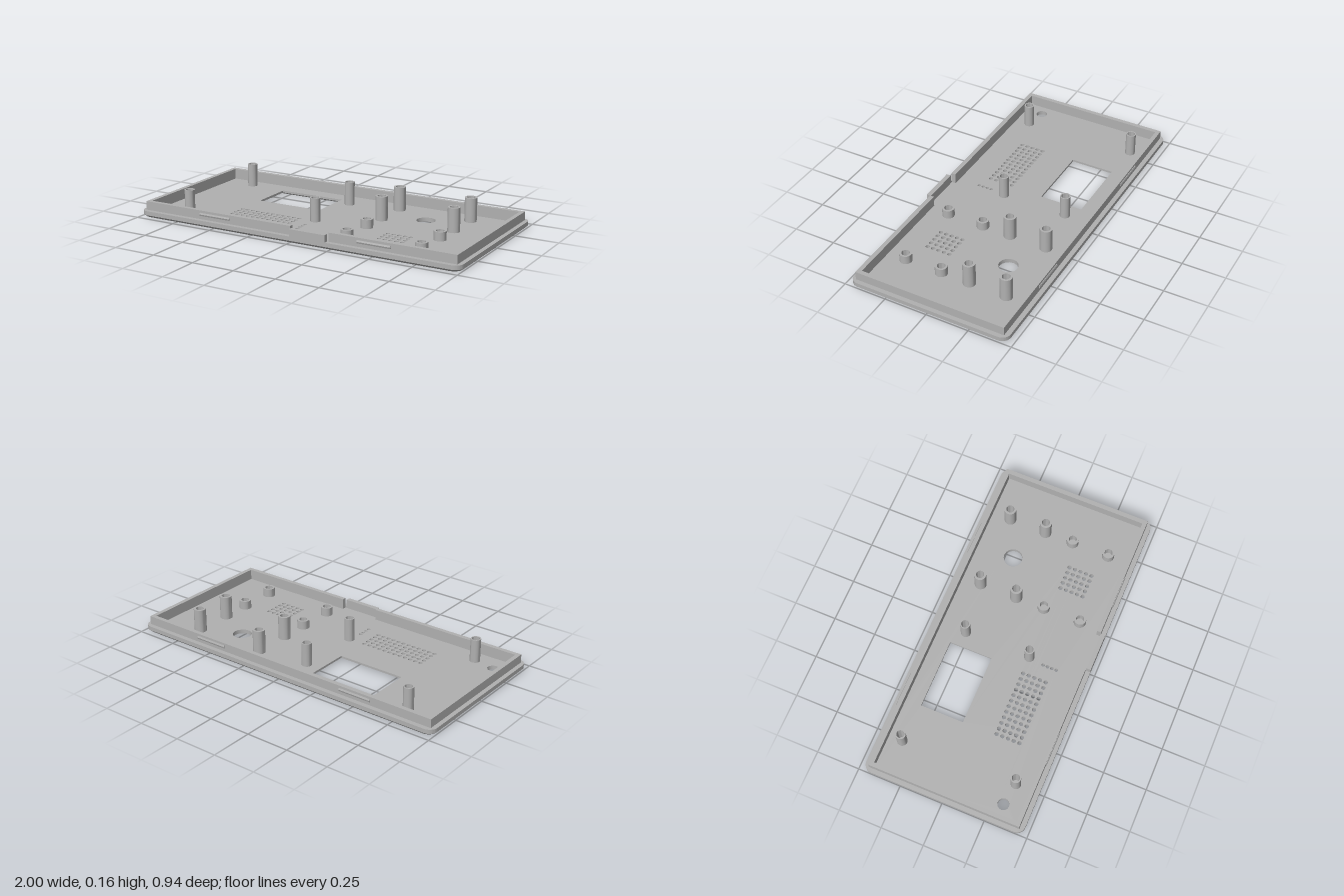
import * as THREE from 'three';
import { toCreasedNormals } from 'three/addons/utils/BufferGeometryUtils.js';

const W = 1, D = 0.472;               // half width and depth of the panel
const FLOOR = 0.024, RIM = 0.036, LIP = 0.086;
const CHAMFER = 0.012;
const WINDOW = { x: -0.337, z: -0.201, w: 0.203, d: 0.127 }; // centre and half sizes

// Shapes are drawn in plan: shape x = model x, shape y = model z
const polygon = (pts, Type = THREE.Shape) => new Type(pts.map(([x, z]) => new THREE.Vector2(x, z)));
const rect = (x, z, w, d) => [[x - w, z - d], [x + w, z - d], [x + w, z + d], [x - w, z + d]];

function outline(r = 0.05) {
  const s = new THREE.Shape();
  s.absarc(W - r, D - r, r, 0, Math.PI / 2);
  s.absarc(-W + r, D - r, r, Math.PI / 2, Math.PI);
  s.absarc(-W + r, -D + r, r, Math.PI, Math.PI * 1.5);
  s.absarc(W - r, -D + r, r, Math.PI * 1.5, Math.PI * 2);
  s.closePath();
  return s;
}

function slab(shape, y0, y1, steps = 1) {
  const g = new THREE.ExtrudeGeometry(shape, { depth: y1 - y0, steps, bevelEnabled: false, curveSegments: 8 });
  return g.rotateX(Math.PI / 2).translate(0, y1, 0);
}

function floorGeometry() {
  const shape = outline();
  const hole = (x, z, r) => shape.holes.push(new THREE.Path().absarc(x, z, r, 0, Math.PI * 2));
  shape.holes.push(polygon(rect(WINDOW.x, WINDOW.z, WINDOW.w, WINDOW.d), THREE.Path));
  hole(0.484, -0.2, 0.055);
  hole(-0.88, 0.313, 0.033);
  // Vent grids
  for (let row = 0; row < 5; row++) {
    const z = 0.125 + row * 0.0343;
    for (let i = 0; i < 12; i++) hole(-0.53 + i * 0.0348, z, 0.012);
    for (let i = 0; i < 5; i++) hole(0.415 + i * 0.0348, z, 0.012);
  }
  // Indicator holes
  for (let i = 0; i < 4; i++) hole(-0.058, 0.21 + i * 0.0265, 0.01);

  // Chamfer the underside: outer edge pulled in, window edge pushed out
  const g = slab(shape, 0, FLOOR, 2);
  const p = g.attributes.position;
  for (let i = 0; i < p.count; i++) {
    if (p.getY(i) > 0.001) continue;
    const x = p.getX(i), z = p.getZ(i);
    const dx = x - WINDOW.x, dz = z - WINDOW.z;
    if (Math.abs(x) > 0.94 || Math.abs(z) > 0.41) {
      p.setX(i, x * (1 - CHAMFER / W));
      p.setZ(i, z * (1 - CHAMFER / D));
    } else if (Math.abs(dx) < WINDOW.w + 0.001 && Math.abs(dz) < WINDOW.d + 0.001) {
      p.setX(i, x + Math.sign(dx) * 0.022);
      p.setZ(i, z + Math.sign(dz) * 0.022);
    }
  }
  return toCreasedNormals(g, 0.6);
}

// Hollow post standing on the floor
function postGeometry(top, outer, inner) {
  const pts = [[outer, FLOOR], [outer, top], [inner, top], [inner, FLOOR]];
  const g = new THREE.LatheGeometry(pts.map(([r, y]) => new THREE.Vector2(r, y)), 24);
  return toCreasedNormals(g, 0.6);
}

export function createModel() {
  const model = new THREE.Group();
  const grey = new THREE.MeshStandardMaterial({ color: 0xb0b0b0 });
  grey.name = 'grey plastic';
  const add = (name, geometry, x = 0, y = 0, z = 0) => {
    const m = new THREE.Mesh(geometry, grey);
    m.name = name;
    m.position.set(x, y, z);
    model.add(m);
    return m;
  };

  add('floorPanel', floorGeometry());

  // Outer rim, cut back at the front notch
  const ox = 0.975, oz = 0.445, ix = 0.95, iz = 0.42, n0 = -0.01, n1 = 0.228;
  const rim = outline();
  rim.holes.push(polygon([[-ix, -iz], [ix, -iz], [ix, iz], [n1, iz], [n1, oz], [n0, oz], [n0, iz], [-ix, iz]], THREE.Path));
  add('outerRim', toCreasedNormals(slab(rim, FLOOR, RIM), 0.6));

  // Raised lip wall with a gap at the front
  add('lipWall', slab(polygon([
    [n1, oz], [ox, oz], [ox, -oz], [-ox, -oz], [-ox, oz], [n0, oz],
    [n0, iz], [-ix, iz], [-ix, -iz], [ix, -iz], [ix, iz], [n1, iz],
  ]), RIM, LIP));

  // Tab filling the notch, flush with the outer edge
  add('frontTab', new THREE.BoxGeometry(0.22, 0.041, D - oz), 0.11, RIM + 0.0205, (D + oz) / 2);

  // Snap ridges on the long sides
  const ridge = new THREE.CylinderGeometry(0.01, 0.01, 0.2, 6).toNonIndexed();
  ridge.rotateZ(Math.PI / 2).scale(1, 1, 0.6).computeVertexNormals();
  for (const x of [-0.5, 0.5]) for (const z of [-oz, oz]) add('snapRidge', ridge, x, 0.064, z);

  // Slim posts around the window
  const slim = postGeometry(0.16, 0.029, 0.022);
  for (const [x, z] of [[-0.767, -0.34], [-0.75, 0.332], [-0.045, -0.27], [-0.045, 0.12]]) add('slimPost', slim, x, 0, z);

  // Wide posts: tall at the back, short at the front
  const tall = postGeometry(0.163, 0.035, 0.023), short = postGeometry(0.075, 0.035, 0.023);
  for (const x of [0.262, 0.706]) {
    for (const z of [-0.31, -0.088]) add('tallPost', tall, x, 0, z);
    for (const z of [0.083, 0.305]) add('shortPost', short, x, 0, z);
  }
  return model;
}
